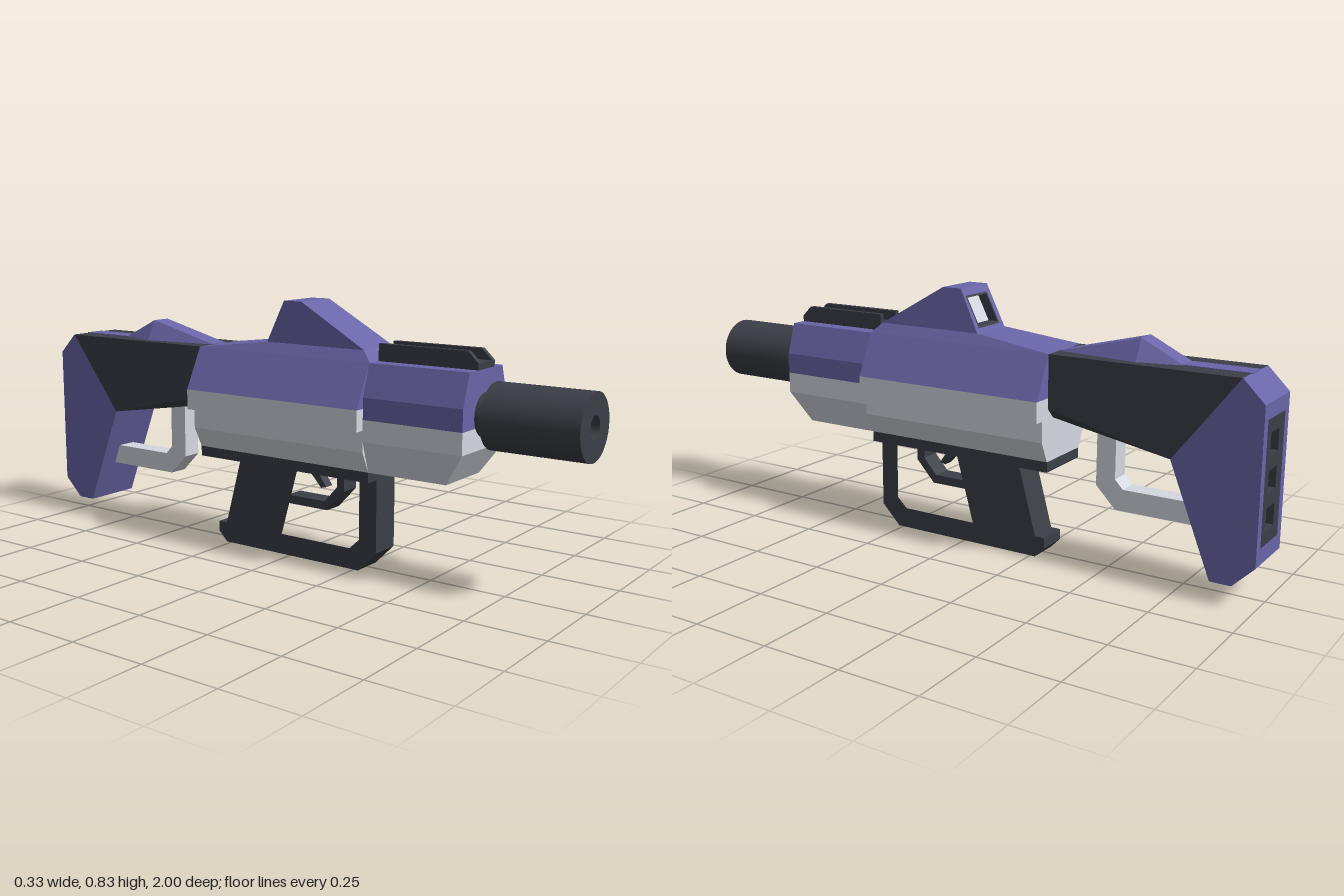
import * as THREE from 'three';
import { toCreasedNormals } from 'three/addons/utils/BufferGeometryUtils.js';
import { ConvexGeometry } from 'three/addons/geometries/ConvexGeometry.js';

const mat = (color) => new THREE.MeshStandardMaterial({ color });

export function createModel() {
  const group = new THREE.Group();
  const purple = mat(0x6a65a8), light = mat(0xd6d9e2), dark = mat(0x3c3f47);

  const add = (name, geometry, material) => {
    const mesh = new THREE.Mesh(geometry, material);
    mesh.name = name;
    group.add(mesh);
    return mesh;
  };
  const toShape = (pts, holes = []) => {
    const shape = new THREE.Shape(pts.map(([a, b]) => new THREE.Vector2(a, b)));
    holes.forEach((h) => shape.holes.push(new THREE.Path(h.map(([a, b]) => new THREE.Vector2(a, b)))));
    return shape;
  };
  const extrude = (shape, depth) => new THREE.ExtrudeGeometry(shape, { depth, bevelEnabled: false });
  // Side profile of [z, y] points, extruded from x0 to x1
  const prismX = (pts, x0, x1, holes) =>
    extrude(toShape(pts, holes), x1 - x0).rotateY(-Math.PI / 2).translate(x1, 0, 0);
  // Front profile of [x, y] points, extruded from z0 to z1
  const prismZ = (pts, z0, z1, holes) => extrude(toShape(pts, holes), z1 - z0).translate(0, 0, z0);
  // Right half of a front profile, mirrored to a closed outline
  const mirrored = (half) => [...half, ...half.map(([x, y]) => [-x, y]).reverse()];
  const hull = (pts) => new ConvexGeometry(pts.map((p) => new THREE.Vector3(...p)));
  // Hull of points mirrored across x = 0
  const hullMirror = (pts) => hull(pts.flatMap(([x, y, z]) => [[x, y, z], [-x, y, z]]));
  const rect = (x0, y0, x1, y1) => [[x0, y0], [x1, y0], [x1, y1], [x0, y1]];

  // Barrel with neck and bore
  const barrelProfile = [[0.066, 0.65], [0.066, 0.7], [0.1, 0.7], [0.1, 1], [0.034, 1], [0.034, 0.9], [0, 0.9]];
  const barrel = new THREE.LatheGeometry(barrelProfile.map(([r, h]) => new THREE.Vector2(r, h)), 48);
  barrel.rotateX(Math.PI / 2).translate(0, 0.533, 0);
  add('barrel', toCreasedNormals(barrel, 0.6), dark);

  // Front housing
  add('frontHousingUpper', prismZ(mirrored([[0.133, 0.5], [0.133, 0.567], [0.1, 0.667]]), 0.333, 0.667), purple);
  add('frontHousingLower', hullMirror([
    [0.133, 0.5, 0.333], [0.133, 0.5, 0.667], [0.133, 0.433, 0.333], [0.133, 0.433, 0.667],
    [0.1, 0.333, 0.333], [0.1, 0.333, 0.6],
  ]), light);

  // Top rail
  add('railBase', prismX(rect(0.333, 0.667, 0.667, 0.687), -0.05, 0.05), dark);
  for (const x of [-0.05, 0.033]) {
    add('railEdge', prismX([[0.333, 0.687], [0.667, 0.687], [0.633, 0.72], [0.333, 0.72]], x, x + 0.017), dark);
  }

  // Main body
  add('bodyUpper', prismZ(mirrored([[0.167, 0.533], [0.1, 0.667]]), -0.333, 0.333), purple);
  add('bodyLower', prismZ(mirrored([
    [0.1, 0.333], [0.133, 0.4], [0.133, 0.467], [0.167, 0.467], [0.167, 0.533],
  ]), -0.333, 0.333), light);
  add('bodyTop', hullMirror([
    [0.1, 0.667, 0.333], [0.1, 0.667, -0.333], [0.08, 0.7, 0.3], [0.08, 0.7, -0.067],
  ]), purple);
  add('underPlate', prismX(rect(-0.333, 0.3, 0.333, 0.333), -0.1, 0.1), dark);

  // Sight hump: two cheeks around a centre with a recessed window at the back
  const hump = [[0.3, 0.7], [0.067, 0.833], [0, 0.833], [-0.067, 0.7]];
  const w = 0.06;
  const cheek = (inner, base, top) =>
    hull(hump.flatMap(([z, y]) => [[inner, y, z], [y > 0.8 ? top : base, y, z]]));
  add('sightCheekRight', cheek(-w, -0.08, -0.08), purple);
  add('sightCheekLeft', cheek(w, 0.08, 0.07), purple);
  const slant = (y, d = 0) => [-0.067 + 0.067 * (y - 0.7) / 0.133 + d, y];
  const slab = (y0, y1, d0, d1) => [slant(y0, d0), slant(y0, d1), slant(y1, d1), slant(y1, d0)];
  const lo = 0.713, hi = 0.81, deep = 0.04;
  add('sightCentre', prismX([
    ...hump.slice(0, 3), slant(hi), slant(hi, deep), slant(lo, deep), slant(lo), hump[3],
  ], -w, w), purple);
  add('sightFrameBottom', prismX(slab(lo, lo + 0.006, 0, deep), -w, w), dark);
  add('sightFrameTop', prismX(slab(hi - 0.006, hi, 0, deep), -w, w), dark);
  for (const x of [-w, w - 0.006]) add('sightFrameSide', prismX(slab(lo, hi, 0, deep), x, x + 0.006), dark);
  add('sightScreen', prismX(slab(lo, hi, deep - 0.006, deep), -w, w), light);

  // Grip with front guard
  add('grip', prismX([
    [0.333, 0.31], [0.333, 0.067], [0.267, 0], [-0.267, 0], [-0.3, 0.033], [-0.3, 0.067],
    [-0.267, 0.067], [-0.2, 0.31],
  ], -0.052, 0.052, [[[0.27, 0.3], [0.27, 0.1], [0.235, 0.067], [-0.033, 0.067], [0.033, 0.3]]]), dark);
  add('triggerGuard', prismX([
    [0.2, 0.305], [0.2, 0.24], [0.135, 0.17], [-0.02, 0.17], [-0.02, 0.198], [0.125, 0.198],
    [0.172, 0.25], [0.172, 0.305],
  ], -0.033, 0.033), dark);
  add('trigger', prismX([
    [0.09, 0.305], [0.095, 0.275], [0.12, 0.24], [0.1, 0.235], [0.035, 0.305],
  ], -0.017, 0.017), dark);

  // Stock
  add('stock', hullMirror([
    [0.1, 0.667, -0.333], [0.1, 0.667, -0.933], [0.1, 0.5, -0.333], [0.067, 0.467, -0.333],
    [0.1, 0.407, -0.733],
  ]), dark);
  add('stockStripe', prismX(rect(-0.935, 0.66, -0.333, 0.669), -0.033, 0.033), purple);
  add('cheekRest', hullMirror([
    [0.033, 0.667, -0.333], [0.067, 0.667, -0.6], [0.033, 0.733, -0.6], [0.033, 0.667, -0.733],
  ]), purple);
  add('rearHandle', prismX([
    [-0.467, 0.48], [-0.467, 0.267], [-0.533, 0.2], [-0.83, 0.2], [-0.83, 0.267],
    [-0.557, 0.267], [-0.53, 0.295], [-0.53, 0.48],
  ], -0.033, 0.033), light);

  // Butt: full-profile sides around a centre notched for the pad
  const buttFront = [[-0.933, 0.067], [-0.867, 0.067], [-0.733, 0.407], [-0.933, 0.667]];
  const padLow = 0.18, padHigh = 0.553, padX = 0.07;
  const butt = [...buttFront, [-1, 0.6], [-1, 0.133]];
  add('buttSideRight', prismX(butt, -0.1, -padX), purple);
  add('buttSideLeft', prismX(butt, padX, 0.1), purple);
  add('buttCentre', prismX([
    ...buttFront, [-1, 0.6], [-1, padHigh], [-0.96, padHigh], [-0.96, padLow], [-1, padLow], [-1, 0.133],
  ], -padX, padX), purple);

  // Butt pad with three square recesses
  const holes = [-0.11, 0, 0.11].map((d) => rect(-0.033, 0.334 + d, 0.033, 0.4 + d));
  add('buttPad', prismZ(rect(-padX, padLow, padX, padHigh), -0.998, -0.965, holes), dark);
  add('buttPadBacking', prismZ(rect(-padX, padLow, padX, padHigh), -0.966, -0.958), dark);

  return group;
}
